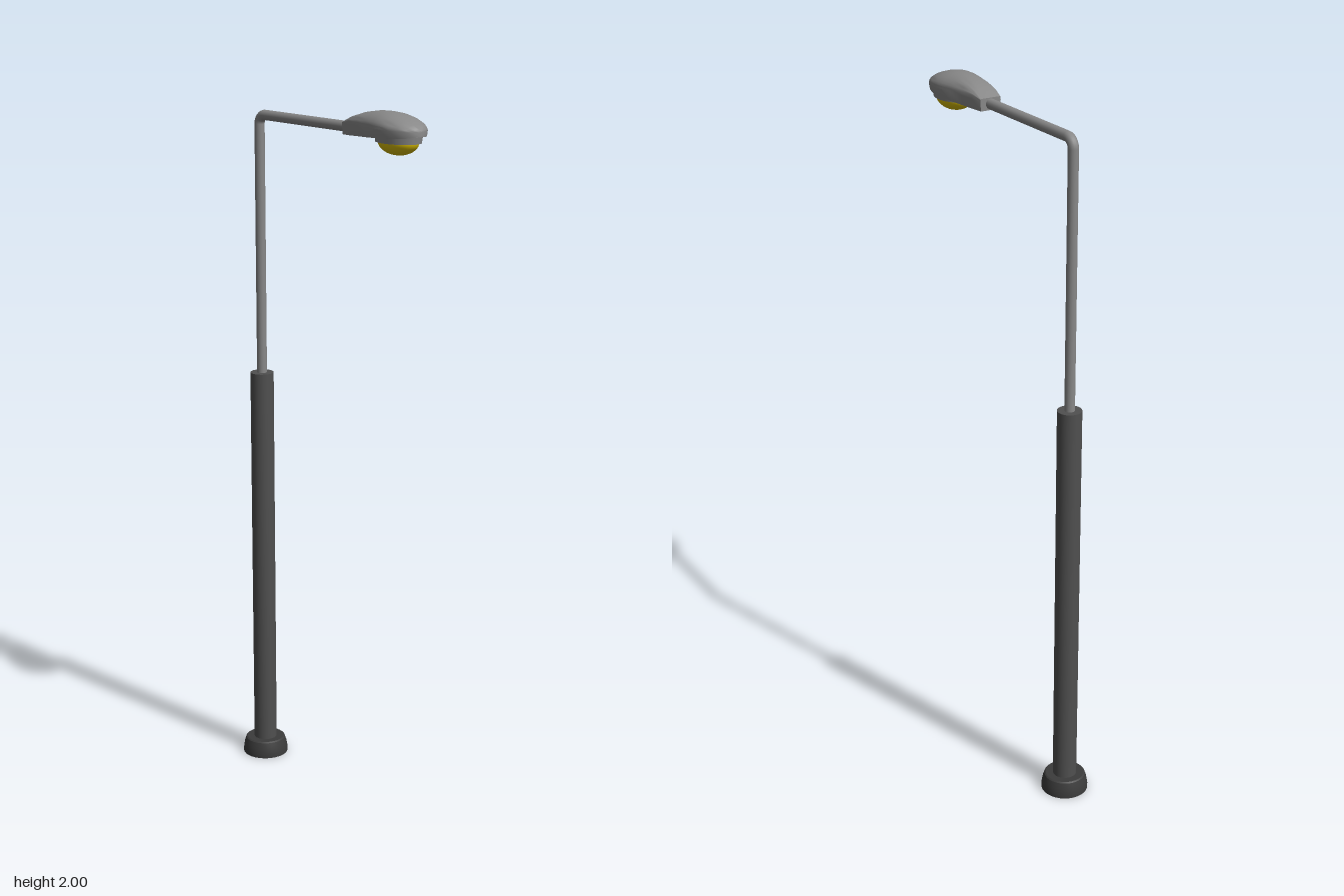
import * as THREE from 'three';
import { toCreasedNormals } from 'three/addons/utils/BufferGeometryUtils.js';

const POLE_X = -0.303, ARM_Y = 1.945, TUBE_R = 0.0145, BEND_R = 0.027;

const material = (name, color) => {
  const m = new THREE.MeshStandardMaterial({ color });
  m.name = name;
  return m;
};

// Lamp housing lofted along x: boxy at the neck, rounded at the nose, flat below
function housingGeometry() {
  // x, half width, top, shoulder height, bottom, squareness (1 = round, near 0 = square)
  const sections = [
    [0.092, 0.032, 1.962, 1.953, 1.928, 0.2],
    [0.125, 0.039, 1.979, 1.957, 1.929, 0.5],
    [0.165, 0.047, 1.992, 1.959, 1.931, 0.8],
    [0.210, 0.056, 1.999, 1.960, 1.933, 1],
    [0.245, 0.062, 2.000, 1.960, 1.935, 1],
    [0.275, 0.065, 1.998, 1.960, 1.937, 1],
    [0.305, 0.061, 1.992, 1.959, 1.938, 1],
    [0.330, 0.052, 1.984, 1.958, 1.940, 1],
    [0.350, 0.038, 1.975, 1.957, 1.941, 1],
    [0.363, 0.022, 1.967, 1.956, 1.943, 1],
    [0.370, 0.004, 1.959, 1.955, 1.944, 1],
  ];
  const arc = 16, n = arc + 3;
  const pos = [], index = [];
  for (const [x, w, top, side, bottom, e] of sections) {
    pos.push(x, bottom, -w * 0.93);
    for (let j = 0; j <= arc; j++) {
      const a = (j / arc) * Math.PI, c = Math.cos(a), s = Math.max(0, Math.sin(a));
      pos.push(x, side + (top - side) * (j % arc ? s ** e : 0), -w * Math.sign(c) * Math.abs(c) ** e);
    }
    pos.push(x, bottom, w * 0.93);
  }
  for (let i = 0; i < sections.length - 1; i++) {
    for (let j = 0; j < n; j++) {
      const k = (j + 1) % n, a = i * n + j, b = i * n + k;
      index.push(a, b, b + n, a, b + n, a + n);
    }
  }
  // end caps
  const last = (sections.length - 1) * n;
  for (let j = 1; j < n - 1; j++) {
    index.push(0, j + 1, j, last, last + j, last + j + 1);
  }
  const g = new THREE.BufferGeometry();
  g.setAttribute('position', new THREE.Float32BufferAttribute(pos, 3));
  g.setIndex(index);
  return toCreasedNormals(g, 0.6);
}

export function createModel() {
  const group = new THREE.Group();
  const baseMat = material('charcoal', 0x3c3c3c);
  const poleMat = material('dark grey', 0x505050);
  const metalMat = material('mid grey', 0x888888);
  const lampMat = material('yellow', 0xd8bc00);

  const add = (name, geometry, mat, x = 0, y = 0, z = 0) => {
    const mesh = new THREE.Mesh(geometry, mat);
    mesh.name = name;
    mesh.position.set(x, y, z);
    group.add(mesh);
    return mesh;
  };

  // Foot and lower pole
  const footProfile = [[0, 0], [0.067, 0], [0.067, 0.012], [0.064, 0.03], [0.059, 0.046], [0.055, 0.049], [0, 0.049]]
    .map(([r, y]) => new THREE.Vector2(r, y));
  add('foot', toCreasedNormals(new THREE.LatheGeometry(footProfile, 32), 0.6), baseMat, POLE_X);
  add('lowerPole', new THREE.CylinderGeometry(0.034, 0.034, 1.16, 32), poleMat, POLE_X, 0.62);

  // Upper pole, elbow and horizontal arm
  const bendY = ARM_Y - BEND_R, bendX = POLE_X + BEND_R, armEnd = 0.11;
  add('upperPole', new THREE.CylinderGeometry(TUBE_R, TUBE_R, bendY - 1.18, 16), metalMat, POLE_X, (bendY + 1.18) / 2);
  add('elbow', new THREE.TorusGeometry(BEND_R, TUBE_R, 16, 10, Math.PI / 2), metalMat, bendX, bendY)
    .rotation.z = Math.PI / 2;
  add('arm', new THREE.CylinderGeometry(TUBE_R, TUBE_R, armEnd - bendX, 16), metalMat, (armEnd + bendX) / 2, ARM_Y)
    .rotation.z = Math.PI / 2;

  // Lamp head: housing, oval lip and glowing lens
  add('lampHousing', housingGeometry(), metalMat);
  add('lensLip', new THREE.CylinderGeometry(1, 0.96, 0.018, 32), metalMat, 0.28, 1.932)
    .scale.set(0.073, 1, 0.054);
  add('lens', new THREE.SphereGeometry(1, 32, 10, 0, Math.PI * 2, Math.PI / 2, Math.PI / 2), lampMat, 0.28, 1.925)
    .scale.set(0.063, 0.036, 0.046);

  return group;
}
